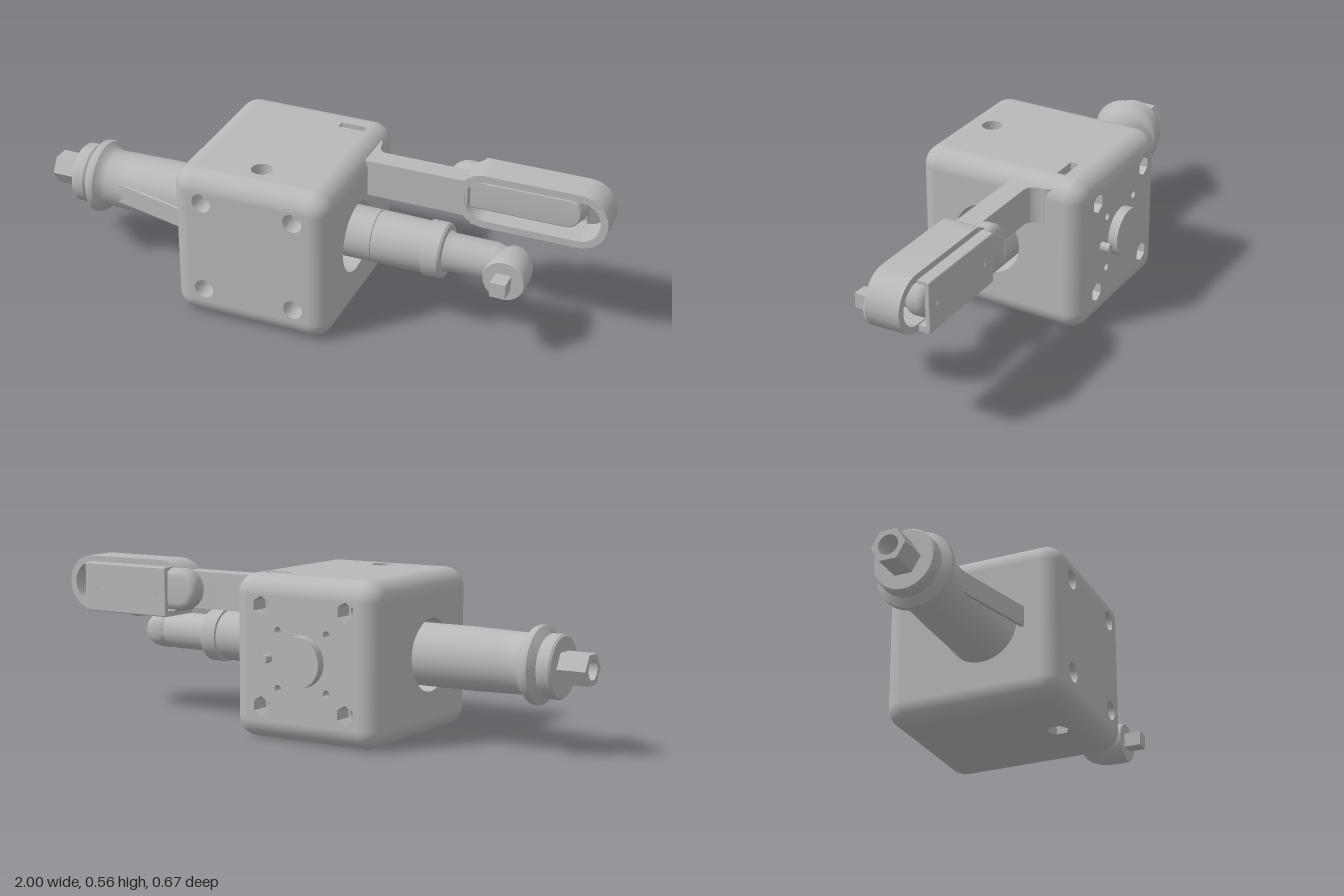
import * as THREE from 'three';
import { toCreasedNormals } from 'three/addons/utils/BufferGeometryUtils.js';
import { RoundedBoxGeometry } from 'three/addons/geometries/RoundedBoxGeometry.js';

const grey = new THREE.MeshStandardMaterial({ color: 0xb8b8b8, side: THREE.DoubleSide });
grey.name = 'plain grey';

function add(parent, name, geo, x = 0, y = 0, z = 0) {
  const m = new THREE.Mesh(geo, grey);
  m.name = name;
  m.position.set(x, y, z);
  parent.add(m);
  return m;
}

// Regular polygon outline, first corner pointing down
function ring(u, v, r, n) {
  return Array.from({ length: n }, (_, i) => {
    const a = (i / n) * Math.PI * 2;
    return new THREE.Vector2(u + r * Math.sin(a), v - r * Math.cos(a));
  });
}

// Horizontal capsule outline
function capsule(x0, x1, y, r, Kind = THREE.Shape) {
  const s = new Kind();
  s.absarc(x1 - r, y, r, -Math.PI / 2, Math.PI / 2, false);
  s.absarc(x0 + r, y, r, Math.PI / 2, Math.PI * 1.5, false);
  s.closePath();
  return s;
}

function extrude(shape, depth, bevel = 0) {
  const g = new THREE.ExtrudeGeometry(shape, {
    depth: depth - 2 * bevel, bevelEnabled: bevel > 0, bevelSize: bevel, bevelOffset: -bevel,
    bevelThickness: bevel, bevelSegments: 4, curveSegments: 20,
  });
  g.translate(0, 0, bevel);
  return toCreasedNormals(g, 0.6);
}

function lathe(points, n = 36) {
  return toCreasedNormals(new THREE.LatheGeometry(points.map(p => new THREE.Vector2(p[1], p[0])), n), 0.55);
}

// Open tube running inward from a face
function addTube(parent, name, u, v, r, n, z0, depth) {
  let g = new THREE.CylinderGeometry(r, r, depth, n, 1, true).rotateX(Math.PI / 2);
  if (n < 8) g = toCreasedNormals(g, 0.3);
  add(parent, name, g, u, v, z0 - depth / 2);
}

function buildHousing() {
  const W = 0.565, H = 0.555, D = 0.633, R = 0.068;
  const c = new THREE.Vector3(-0.1175, 0.2775, 0.0165);
  const housing = new THREE.Group();
  housing.name = 'housing';
  housing.position.copy(c);

  // Rounded edges: a rounded box without its six flat faces
  const box = new RoundedBoxGeometry(W, H, D, 6, R);
  const pos = box.attributes.position, nor = box.attributes.normal;
  const half = [W / 2, H / 2, D / 2], P = [], N = [];
  for (let i = 0; i < pos.count; i += 3) {
    const flat = half.some((h, k) =>
      [0, 1, 2].every(j => Math.abs(Math.abs(pos.getComponent(i + j, k)) - h) < 1e-4));
    if (flat) continue;
    for (let j = 0; j < 3; j++) for (let k = 0; k < 3; k++) {
      P.push(pos.getComponent(i + j, k));
      N.push(nor.getComponent(i + j, k));
    }
  }
  const shell = new THREE.BufferGeometry();
  shell.setAttribute('position', new THREE.Float32BufferAttribute(P, 3));
  shell.setAttribute('normal', new THREE.Float32BufferAttribute(N, 3));
  add(housing, 'housingEdges', shell);

  // A flat face with holes; each hole is [u, v, radius, sides, depth, tunnelRadius, tunnelLength]
  function face(name, w, h, off, rx, ry, holes, slot) {
    const g = new THREE.Group();
    g.name = name;
    g.rotation.set(rx, ry, 0);
    housing.add(g);
    const a = w / 2 - R, b = h / 2 - R;
    const s = new THREE.Shape([[-a, -b], [a, -b], [a, b], [-a, b]].map(p => new THREE.Vector2(...p)));
    for (const [u, v, r, n, depth, tr, len] of holes) {
      s.holes.push(new THREE.Path(ring(u, v, r, n)));
      addTube(g, 'holeWall', u, v, r, n, off, depth);
      if (tr === undefined) continue;
      const floor = new THREE.Shape(ring(u, v, r, n));
      if (tr > 0) floor.holes.push(new THREE.Path(ring(u, v, tr, 24)));
      add(g, 'holeFloor', new THREE.ShapeGeometry(floor), 0, 0, off - depth);
      if (len) addTube(g, 'tunnel', u, v, tr, 24, off - depth, len);
    }
    if (slot) {
      const [u, v, sw, sh, d] = slot, p = sw / 2, q = sh / 2;
      s.holes.push(new THREE.Path([[u - p, v - q], [u + p, v - q], [u + p, v + q], [u - p, v + q]]
        .map(e => new THREE.Vector2(...e))));
      const well = new THREE.BoxGeometry(sw, sh, d);
      const idx = Array.from(well.index.array);
      well.setIndex(idx.filter((_, i) => i < 24 || i >= 30));
      add(g, 'slotWell', well, u, v, off - d / 2);
    }
    add(g, name + 'Plate', new THREE.ShapeGeometry(s), 0, 0, off);
  }

  const bolts = [[-0.285, 0.452], [0.045, 0.452], [-0.285, 0.115], [0.045, 0.115]];
  const pins = [[1, 1], [1, -1], [-1, 1], [-1, -1]].map(([i, j]) => [i * 0.095, j * 0.097, 0.013, 16, 0.05, 0]);
  face('frontFace', W, H, D / 2, 0, 0,
    bolts.map(([x, y]) => [x - c.x, y - c.y, 0.034, 24, 0.07, 0.022, D - 0.14]));
  face('backFace', W, H, D / 2, 0, Math.PI,
    [...bolts.map(([x, y]) => [c.x - x, y - c.y, 0.034, 6, 0.07, 0.022]), ...pins]);
  const bz = 0.06 - c.z;
  face('leftFace', D, H, W / 2, 0, Math.PI / 2, [[-bz, 0.002, 0.125, 48, W]]);
  face('rightFace', D, H, W / 2, 0, -Math.PI / 2, [[bz, 0.002, 0.125, 48, 0.01]]);
  const vz = 0.208 - c.z;
  face('topFace', W, D, H / 2, -Math.PI / 2, 0, [[0, -vz, 0.036, 24, 0.06, 0.022, H - 0.12]],
    [0.047 - c.x, 0.185 + c.z, 0.094, 0.03, 0.035]);
  face('bottomFace', W, D, H / 2, Math.PI / 2, 0, [[0, vz, 0.036, 6, 0.06, 0.022]]);

  // Rear boss and locating peg
  const disc = (r, n) => toCreasedNormals(new THREE.CylinderGeometry(r, r, 0.04, n).rotateX(Math.PI / 2), 0.6);
  add(housing, 'rearBoss', disc(0.086, 40), 0, 0.002, -D / 2 - 0.014);
  add(housing, 'rearPeg', disc(0.015, 16), 0.132, 0.002, -D / 2 - 0.014);
  return housing;
}

function buildTool() {
  const tool = new THREE.Group();
  tool.name = 'ratchetTool';
  tool.position.set(0, 0.285, 0.036);

  // Handle, flange, collar and neck turned about the long axis
  add(tool, 'toolBody', lathe([
    [-0.9, 0.03], [-0.9, 0.1], [-0.893, 0.106], [-0.855, 0.106], [-0.848, 0.1], [-0.838, 0.115], [-0.828, 0.129],
    [-0.815, 0.131], [-0.803, 0.127], [-0.79, 0.11], [-0.77, 0.101], [-0.7, 0.103], [-0.58, 0.106], [-0.3, 0.106],
    [0, 0.1], [0.1, 0.091], [0.235, 0.091], [0.237, 0.088], [0.24, 0.091], [0.415, 0.089], [0.417, 0.096],
    [0.475, 0.096], [0.482, 0.09], [0.484, 0.072], [0.5, 0.066], [0.65, 0.066], [0.69, 0.055], [0.72, 0.03], [0.73, 0],
  ]).rotateZ(-Math.PI / 2));

  // Hollow hex air inlet
  const hex = new THREE.Shape(ring(0, 0, 0.058, 6).map(p => new THREE.Vector2(p.y, p.x)));
  hex.holes.push(new THREE.Path(ring(0, 0, 0.034, 20)));
  add(tool, 'hexInlet', extrude(hex, 0.11).rotateY(Math.PI / 2), -1, 0, 0);

  // Angled head with square drive
  add(tool, 'driveHead', lathe([
    [-0.062, 0], [-0.062, 0.03], [-0.055, 0.042], [-0.035, 0.056], [-0.005, 0.067], [0.03, 0.073],
    [0.097, 0.074], [0.106, 0.07], [0.106, 0],
  ], 28).rotateX(Math.PI / 2), 0.71, 0, 0);
  add(tool, 'squareDrive', new THREE.BoxGeometry(0.053, 0.053, 0.08), 0.71, 0, 0.128);

  // Thin throttle lever sloping away from the handle
  const lever = add(tool, 'throttleLever', new THREE.BoxGeometry(0.37, 0.07, 0.012), -0.555, 0.002, 0.131);
  lever.rotation.y = -0.245;
  return tool;
}

function buildArm() {
  const arm = new THREE.Group();
  arm.name = 'supportArm';

  // Bar with a flared root, drawn in plan (x, -z) and extruded upward
  const plan = new THREE.Shape();
  plan.moveTo(0.1, 0.03);
  plan.lineTo(0.52, 0.03);
  plan.lineTo(0.52, 0.107);
  plan.lineTo(0.2, 0.107);
  plan.quadraticCurveTo(0.168, 0.112, 0.165, 0.165);
  plan.lineTo(0.15, 0.195);
  plan.lineTo(0.1, 0.195);
  plan.closePath();
  add(arm, 'armBar', extrude(plan, 0.13).rotateX(-Math.PI / 2), 0, 0.395, 0);

  // Slotted end frame
  const frame = capsule(0.483, 1, 0.463, 0.098);
  frame.holes.push(capsule(0.51, 0.975, 0.463, 0.073, THREE.Path));
  add(arm, 'endFrame', extrude(frame, 0.122), 0, 0, -0.148);

  // Rounded slider filling most of the slot, with a raised front pad
  add(arm, 'slider', extrude(capsule(0.418, 0.91, 0.463, 0.073), 0.075, 0.025), 0, 0, -0.173);
  add(arm, 'sliderPad', extrude(capsule(0.49, 0.9, 0.463, 0.052), 0.05, 0.005), 0, 0, -0.11);

  // Rear cover plate with lower flange and two screws
  add(arm, 'coverPlate', new RoundedBoxGeometry(0.365, 0.175, 0.018, 2, 0.005), 0.715, 0.4525, -0.18);
  add(arm, 'coverFlange', new THREE.BoxGeometry(0.365, 0.02, 0.15), 0.715, 0.375, -0.11);
  add(arm, 'coverTop', new THREE.BoxGeometry(0.365, 0.012, 0.04), 0.715, 0.534, -0.16);
  for (const x of [0.58, 0.85])
    add(arm, 'coverScrew', new THREE.CylinderGeometry(0.009, 0.009, 0.004, 14).rotateX(Math.PI / 2), x, 0.45, -0.189);

  // Stop button underneath
  add(arm, 'stopButton', lathe([[0.352, 0], [0.352, 0.024], [0.36, 0.034], [0.38, 0.034]], 24), 0.71, 0, -0.112);
  return arm;
}

export function createModel() {
  const model = new THREE.Group();
  model.name = 'toolHolder';
  model.add(buildHousing(), buildTool(), buildArm());
  return model;
}
